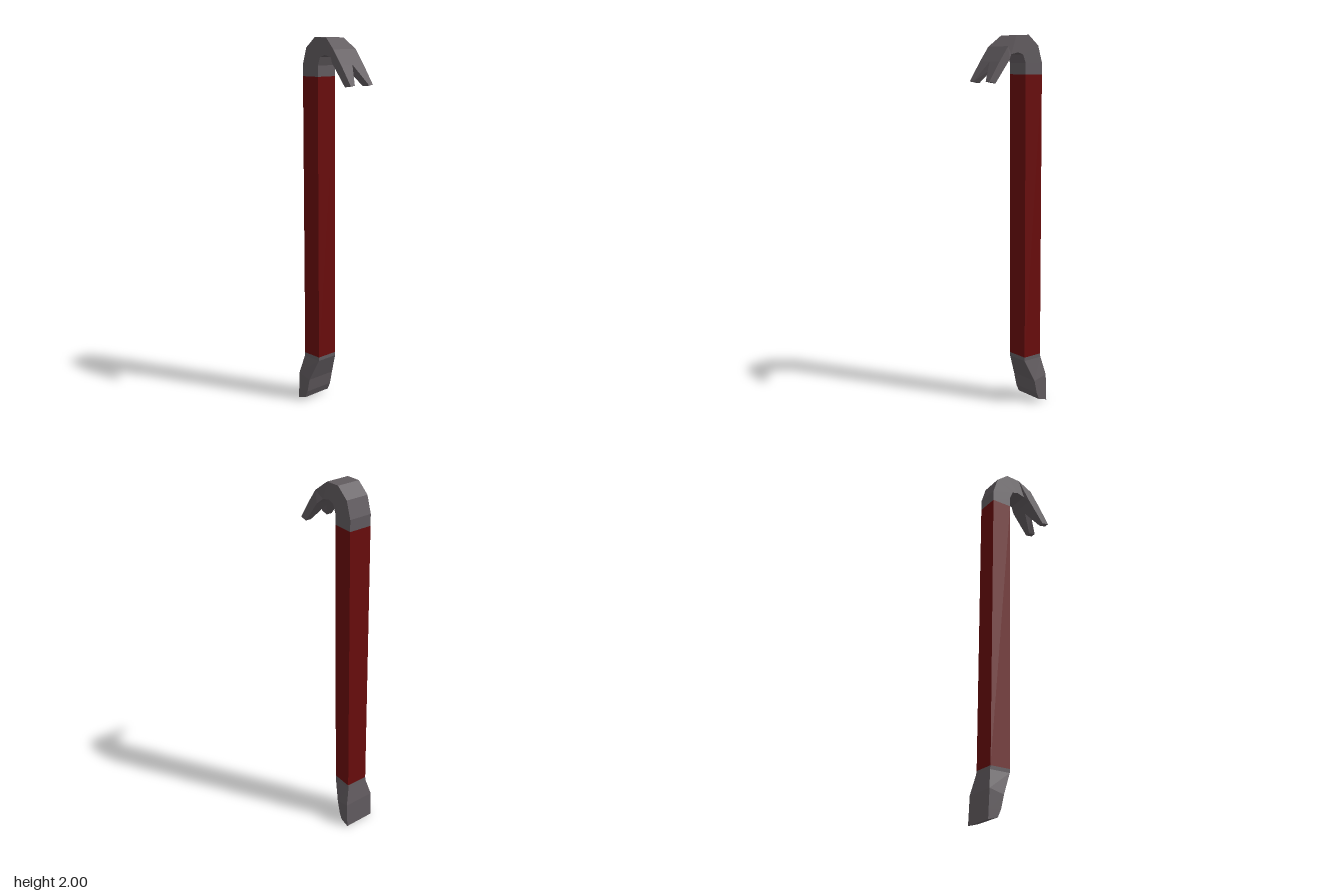
import * as THREE from 'three';

const steel = new THREE.MeshStandardMaterial({ color: 0x625c60, flatShading: true });
const paint = new THREE.MeshStandardMaterial({ color: 0x6a0c0c, flatShading: true });

// Lofts four-sided sections: [backZ, backY, frontZ, frontY, xMin, xMax]
function loft(name, sections, material) {
  const rings = sections.map(([bz, by, fz, fy, x0, x1]) => [
    [x0, by, bz], [x1, by, bz], [x1, fy, fz], [x0, fy, fz],
  ]);
  const positions = [];
  const quad = (a, b, c, d) => positions.push(...a, ...b, ...c, ...a, ...c, ...d);
  for (let k = 0; k < rings.length - 1; k++) {
    const r = rings[k], s = rings[k + 1];
    for (let i = 0; i < 4; i++) {
      const j = (i + 1) % 4;
      quad(r[j], r[i], s[i], s[j]);
    }
  }
  quad(...rings[0]);
  quad(...rings[rings.length - 1].slice().reverse());
  const geometry = new THREE.BufferGeometry();
  geometry.setAttribute('position', new THREE.Float32BufferAttribute(positions, 3));
  geometry.computeVertexNormals();
  const mesh = new THREE.Mesh(geometry, material);
  mesh.name = name;
  return mesh;
}

// Section symmetric about x = 0
const sym = ([bz, by, fz, fy, w]) => [bz, by, fz, fy, -w, w];

export function createModel() {
  const group = new THREE.Group();
  group.name = 'pryBar';
  const W = 0.062, BACK = -0.17, FRONT = -0.057;

  // Painted square shaft
  const shaft = new THREE.Mesh(new THREE.BoxGeometry(2 * W, 1.53, FRONT - BACK), paint);
  shaft.name = 'shaft';
  shaft.position.set(0, 1.035, (FRONT + BACK) / 2);
  group.add(shaft);

  // Flared chisel blade, from the cutting edge upward
  group.add(loft('chiselBlade', [
    [-0.197, 0, -0.143, 0.015, 0.0875],
    [-0.195, 0.05, -0.125, 0.055, 0.0875],
    [-0.191, 0.15, -0.108, 0.13, 0.0875],
    [-0.173, 0.25, FRONT, 0.25, W],
    [BACK, 0.27, FRONT, 0.27, W],
  ].map(sym), steel));

  // Curved hook, from the shaft over to the root of the claw
  group.add(loft('hook', [
    [BACK, 1.8, FRONT, 1.8, W],
    [BACK, 1.86, FRONT, 1.857, W],
    [-0.143, 1.947, -0.04, 1.9, W],
    [-0.078, 2, -0.005, 1.911, W],
    [0.005, 1.997, 0.04, 1.9, W],
    [0.075, 1.94, 0.066, 1.873, 0.08],
    [0.13, 1.865, 0.092, 1.84, 0.08],
  ].map(sym), steel));

  // Two prongs leaving a V notch between them
  for (const side of [1, -1]) {
    const prong = [[0.13, 1.865, 0.092, 1.84, 0, 0.08], [0.197, 1.765, 0.157, 1.757, 0.05, 0.08]];
    const sections = prong.map(([bz, by, fz, fy, a, b]) =>
      side > 0 ? [bz, by, fz, fy, a, b] : [bz, by, fz, fy, -b, -a]);
    group.add(loft(side > 0 ? 'leftProng' : 'rightProng', sections, steel));
  }
  return group;
}
